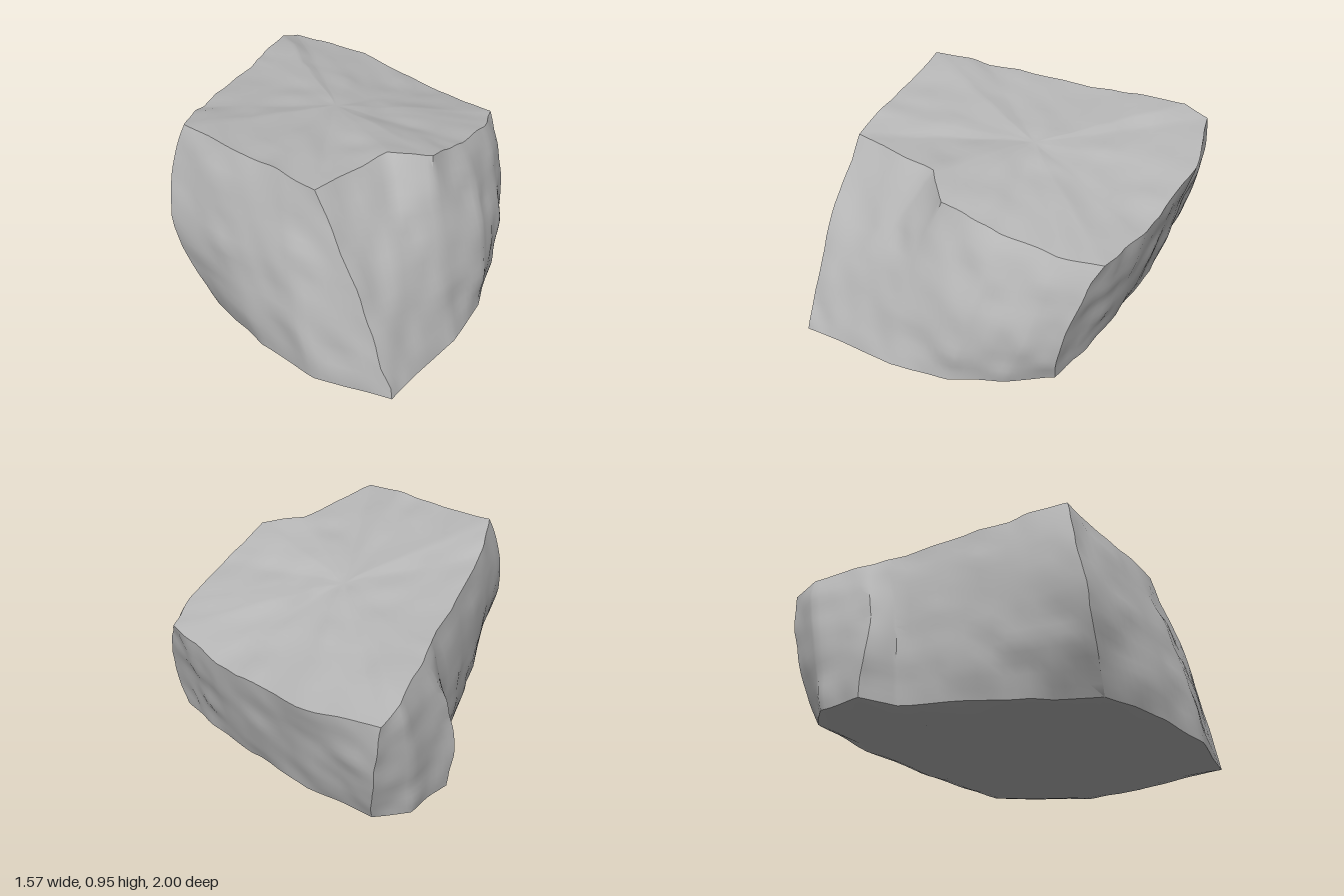
import * as THREE from 'three';
import { toCreasedNormals } from 'three/addons/utils/BufferGeometryUtils.js';

// Upright edges around the rock, counterclockwise from the front: [bottom, middle, top]
const EDGES = [
  [[0.01, 0.04, 1.0], [-0.04, 0.25, 0.94], [-0.24, 0.89, 0.635]], // front ridge
  [[0.13, 0.05, 0.9], [0.12, 0.4, 0.74], [0.11, 0.87, 0.41]],
  [[0.37, 0.05, 0.71], [0.33, 0.4, 0.6], [0.31, 0.85, 0.42]],
  [[0.54, 0.05, 0.5], [0.57, 0.4, 0.41], [0.5, 0.77, 0.23]],
  [[0.66, 0.07, 0.28], [0.71, 0.38, 0.19], [0.66, 0.72, 0.04]],
  [[0.73, 0.09, 0.06], [0.775, 0.38, 0.04], [0.75, 0.69, -0.13]], // +x ridge
  [[0.53, 0.1, -0.25], [0.57, 0.38, -0.33], [0.58, 0.67, -0.4]],
  [[0.22, 0.11, -0.63], [0.25, 0.42, -0.71], [0.27, 0.72, -0.78]],
  [[-0.03, 0.13, -0.85], [-0.02, 0.45, -0.96], [-0.03, 0.75, -0.99]], // back ridge
  [[-0.2, 0.13, -0.84], [-0.18, 0.45, -0.89], [-0.12, 0.79, -0.92]],
  [[-0.38, 0.12, -0.69], [-0.4, 0.45, -0.67], [-0.25, 0.82, -0.68]], // knob
  [[-0.37, 0.1, -0.53], [-0.38, 0.45, -0.55], [-0.3, 0.83, -0.58]],
  [[-0.56, 0.08, -0.1], [-0.63, 0.43, -0.11], [-0.61, 0.9, -0.1]],
  [[-0.62, 0.09, 0.3], [-0.775, 0.42, 0.21], [-0.71, 0.955, 0.14]], // -x ridge
  [[-0.47, 0.075, 0.6], [-0.53, 0.35, 0.53], [-0.47, 0.92, 0.39]],
  [[-0.28, 0.055, 0.82], [-0.32, 0.3, 0.76], [-0.35, 0.91, 0.52]],
].map((edge) => edge.map((p) => new THREE.Vector3(...p)));

const TOP = new THREE.Vector3(0, 0.83, -0.1);
const BOTTOM = new THREE.Vector3(0, 0.01, 0.15);
const SPLIT = 8, CAP = 12, SIDE = 18;

// Smooth seeded value noise in -1..1
function hash(x, y, z, seed) {
  let h = (x * 374761393 + y * 668265263 + z * 2147483647 + seed * 974711) | 0;
  h = Math.imul(h ^ (h >>> 13), 1274126177);
  h = Math.imul(h ^ (h >>> 15), 2246822519);
  return ((h ^ (h >>> 16)) >>> 0) / 2147483648 - 1;
}

function noise(x, y, z, seed) {
  const ix = Math.floor(x), iy = Math.floor(y), iz = Math.floor(z);
  const ease = (t) => t * t * (3 - 2 * t);
  const u = ease(x - ix), v = ease(y - iy), w = ease(z - iz);
  let sum = 0;
  for (let k = 0; k < 8; k++) {
    const a = k & 1, b = (k >> 1) & 1, c = k >> 2;
    sum += hash(ix + a, iy + b, iz + c, seed) * (a ? u : 1 - u) * (b ? v : 1 - v) * (c ? w : 1 - w);
  }
  return sum;
}

// Worn, chipped surface: broad dents plus finer ones
function weather(p) {
  const d = [1, 2, 3].map((s) =>
    0.007 * noise(p.x * 4, p.y * 4, p.z * 4, s) + 0.01 * noise(p.x * 10, p.y * 10, p.z * 10, s + 5));
  return p.add(new THREE.Vector3(d[0], d[1] * 0.7, d[2]));
}

// Point on an upright edge, curved through its three points, t running with height
function along([b, m, c], t) {
  const s = (m.y - b.y) / (c.y - b.y);
  return new THREE.Vector3()
    .addScaledVector(b, (t - s) * (t - 1) / s)
    .addScaledVector(m, t * (t - 1) / (s * (s - 1)))
    .addScaledVector(c, t * (t - s) / (1 - s));
}

function rockGeometry() {
  const cols = EDGES.length * SPLIT, rows = 2 * CAP + SIDE;
  const positions = [], index = [];
  for (let r = 0; r <= rows; r++) {
    // Rows run from the top centre, down the sides, to the bottom centre
    const t = THREE.MathUtils.clamp(1 - (r - CAP) / SIDE, 0, 1);
    for (let c = 0; c < cols; c++) {
      const e = Math.floor(c / SPLIT);
      const p = along(EDGES[e], t).lerp(along(EDGES[(e + 1) % EDGES.length], t), (c % SPLIT) / SPLIT);
      if (r < CAP) p.lerp(TOP, 1 - r / CAP);
      if (r > CAP + SIDE) {
        // Underside bellies down slightly
        const f = (r - CAP - SIDE) / CAP, rim = p.y;
        p.lerp(BOTTOM, f).setY(THREE.MathUtils.lerp(rim, BOTTOM.y, f ** 0.55));
      }
      positions.push(...weather(p).toArray());
      if (r === rows) continue;
      const n = (c + 1) % cols, a = r * cols + c, d = r * cols + n;
      if (r < rows - 1) index.push(a, a + cols, d + cols);
      if (r > 0) index.push(a, d + cols, d);
    }
  }
  const geometry = new THREE.BufferGeometry();
  geometry.setAttribute('position', new THREE.Float32BufferAttribute(positions, 3));
  geometry.setIndex(index);

  // Centre it and stand it on the ground
  geometry.computeBoundingBox();
  const { min, max } = geometry.boundingBox;
  geometry.translate(-(min.x + max.x) / 2, -min.y, -(min.z + max.z) / 2);
  return toCreasedNormals(geometry, 0.7);
}

export function createModel() {
  const stone = new THREE.MeshStandardMaterial({ color: 0xb8b8b8 });
  stone.name = 'stone grey';
  const rock = new THREE.Mesh(rockGeometry(), stone);
  rock.name = 'rock';
  const group = new THREE.Group();
  group.name = 'boulder';
  group.add(rock);
  return group;
}
